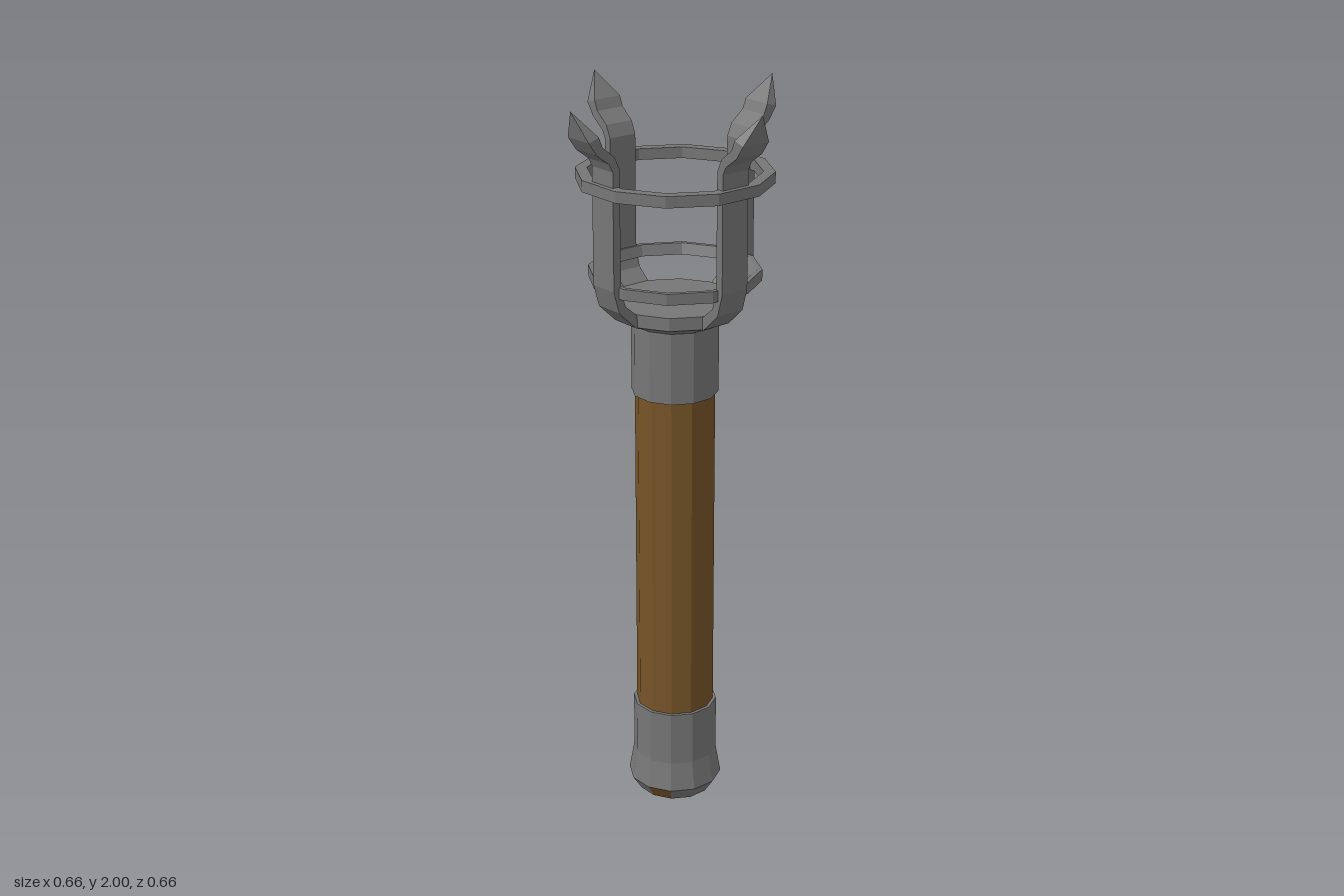
import * as THREE from 'three';
import { ConvexGeometry } from 'three/addons/geometries/ConvexGeometry.js';

const SIDES = 12;
const STEP = Math.PI / 6;

export function createModel() {
  const group = new THREE.Group();
  const iron = new THREE.MeshStandardMaterial({ color: 0x767676, flatShading: true });
  iron.name = 'iron';
  const wood = new THREE.MeshStandardMaterial({ color: 0x765428, flatShading: true });
  wood.name = 'wood';

  const add = (name, geometry, material, parent = group) => {
    const mesh = new THREE.Mesh(geometry, material);
    mesh.name = name;
    parent.add(mesh);
    return mesh;
  };
  // Twelve-sided turned part with a flat side facing each axis
  const turned = (profile, start = 0, count = SIDES) => new THREE.LatheGeometry(
    profile.map(([r, y]) => new THREE.Vector2(r, y)), count, STEP / 2 + start * STEP, count * STEP);

  // Handle and metal caps
  add('handle', turned([[0.107, 0.26], [0.107, 1.22]]), wood);
  add('pommel', turned([[0.13, 0.04], [0.116, 0.12], [0.116, 0.275], [0.1, 0.275]]), iron);
  const bevel = [[0.104, 0], [0.13, 0.04]];
  add('pommelBevel', turned(bevel, 1, SIDES - 1), iron);
  add('pommelBevelPatch', turned(bevel, 0, 1), wood);
  add('pommelBase', turned([[0, 0], [0.104, 0]]), iron);
  add('collar', turned([[0.1, 1.2], [0.116, 1.2], [0.116, 1.395]]), iron);
  add('cup', turned([[0.116, 1.395], [0.166, 1.42], [0.166, 1.455], [0, 1.455]]), iron);

  // Upper hoop
  add('upperHoop', turned([[0.257, 1.77], [0.257, 1.8], [0.226, 1.8], [0.226, 1.77], [0.257, 1.77]]), iron);

  // Lower hoop: its inner lower edge runs straight between the prongs on the +x side
  const polygonRadius = (r, a) => {
    const offset = a - Math.round(a / STEP) * STEP;
    return r * Math.cos(STEP / 2) / Math.cos(offset);
  };
  const positions = [], index = [], N = 24;
  for (let i = 0; i < N; i++) {
    const a = i / N * Math.PI * 2, c = Math.cos(a), s = Math.sin(a);
    const outer = polygonRadius(0.227, a), inner = polygonRadius(0.214, a);
    const low = c > -0.01 ? 0.207 / (Math.abs(c) + Math.abs(s)) : polygonRadius(0.206, a);
    for (const [r, y] of [[outer, 1.51], [outer, 1.54], [inner, 1.54], [low, 1.51]]) {
      positions.push(r * c, y, -r * s);
    }
    for (let j = 0; j < 4; j++) {
      const p = i * 4 + j, q = i * 4 + (j + 1) % 4;
      const p2 = ((i + 1) % N) * 4 + j, q2 = ((i + 1) % N) * 4 + (j + 1) % 4;
      index.push(p, p2, q, q, p2, q2);
    }
  }
  const hoop = new THREE.BufferGeometry();
  hoop.setAttribute('position', new THREE.Float32BufferAttribute(positions, 3));
  hoop.setIndex(index);
  hoop.computeVertexNormals();
  add('lowerHoop', hoop, iron);

  // Four prongs: a bent flat bar ending in a pointed tip
  const half = 0.042;
  const outline = [
    [0.14, 1.41], [0.165, 1.42], [0.218, 1.47], [0.235, 1.53], [0.234, 1.84], [0.245, 1.862],
    [0.283, 1.89], [0.307, 1.925],
    [0.276, 1.935], [0.265, 1.908], [0.228, 1.878], [0.213, 1.845], [0.212, 1.53], [0.198, 1.485],
    [0.155, 1.448], [0.14, 1.448],
  ];
  const bar = new THREE.ExtrudeGeometry(
    new THREE.Shape(outline.map(([r, y]) => new THREE.Vector2(r, y))),
    { depth: half * 2, bevelEnabled: false });
  bar.translate(0, 0, -half);
  const tip = new ConvexGeometry([
    new THREE.Vector3(0.307, 1.925, half), new THREE.Vector3(0.307, 1.925, -half),
    new THREE.Vector3(0.276, 1.935, half), new THREE.Vector3(0.276, 1.935, -half),
    new THREE.Vector3(0.33, 2, 0),
  ]);
  for (let k = 0; k < 4; k++) {
    const prong = new THREE.Group();
    prong.name = 'prong' + (k + 1);
    add('prongBar', bar, iron, prong);
    add('prongTip', tip, iron, prong);
    prong.rotation.y = k * Math.PI / 2;
    group.add(prong);
  }
  return group;
}
